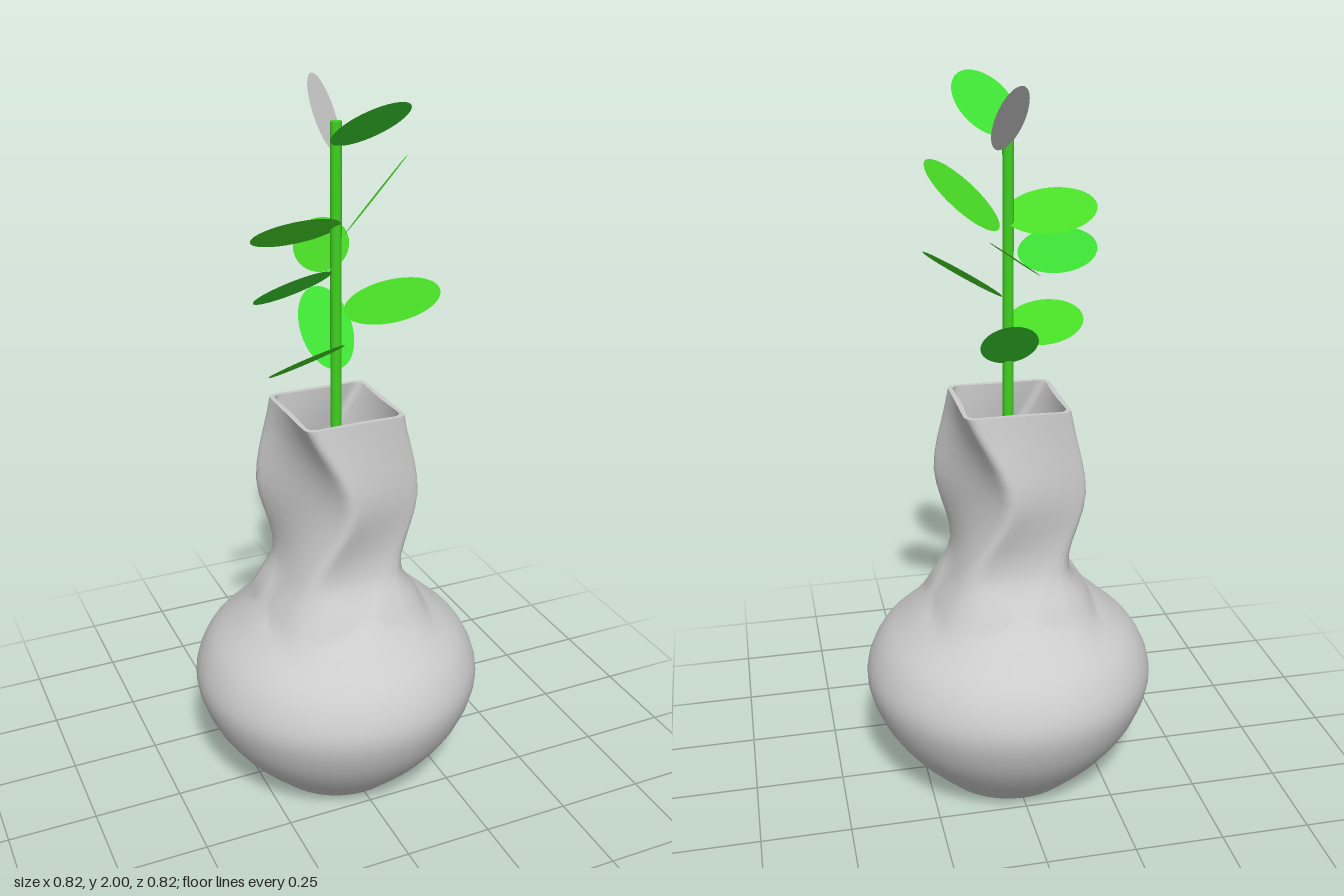
import * as THREE from 'three';

const QUARTER = 12, N = QUARTER * 4, ROWS = 45;
const WALL = 0.015;

// Cross-section ring of N points: a circle
const circle = (y, r) => Array.from({ length: N }, (_, i) => {
  const a = Math.PI / 4 + ((i - 2) / N) * Math.PI * 2;
  return new THREE.Vector3(r * Math.cos(a), y, r * Math.sin(a));
});

// Cross-section ring: a parallelogram with corners a, b, -a, -b ([x, z]), rounded by fraction f of each side
function quad(y, a, b, f) {
  const c = [a, b, a.map(v => -v), b.map(v => -v)].map(([x, z]) => new THREE.Vector3(x, y, z));
  const ring = [];
  c.forEach((p, q) => {
    const next = c[(q + 1) % 4], prev = c[(q + 3) % 4];
    const corner = new THREE.QuadraticBezierCurve3(p.clone().lerp(prev, f), p, p.clone().lerp(next, f));
    for (let k = 0; k < 5; k++) ring.push(corner.getPoint(k / 4));
    for (let k = 1; k <= 7; k++) ring.push(p.clone().lerp(next, f + (1 - 2 * f) * k / 8));
  });
  return ring;
}

// Skin a list of rings into a smooth surface
function skin(rings) {
  const index = [];
  for (let r = 0; r < rings.length - 1; r++) {
    for (let j = 0; j < N; j++) {
      const a = r * N + j, b = r * N + (j + 1) % N;
      index.push(a, a + N, b, b, a + N, b + N);
    }
  }
  const geo = new THREE.BufferGeometry().setFromPoints(rings.flat());
  geo.setIndex(index);
  geo.computeVertexNormals();
  return geo;
}

function createVase() {
  const vase = new THREE.Group();
  vase.name = 'vase';
  const mat = new THREE.MeshStandardMaterial({ color: 0xcccccc, side: THREE.DoubleSide });

  // Round belly blending into a twisted square neck
  const keys = [
    circle(0, 0.21), circle(0.11, 0.315), circle(0.22, 0.385), circle(0.33, 0.412),
    circle(0.43, 0.375), circle(0.515, 0.29),
    quad(0.59, [0.215, 0.215], [-0.215, 0.215], 0.4),
    quad(0.69, [0.15, 0.158], [-0.15, 0.158], 0.2),
    quad(0.91, [0.198, 0.138], [-0.035, 0.186], 0.1),
    quad(1.15, [0.145, 0.145], [-0.145, 0.145], 0.1),
  ];
  const lines = Array.from({ length: N }, (_, j) => new THREE.CatmullRomCurve3(keys.map(k => k[j])));
  const outer = Array.from({ length: ROWS + 1 }, (_, r) => lines.map(l => l.getPoint(r / ROWS)));

  // Inner wall follows the outer one at a constant thickness
  const inner = outer.map(ring => ring.map(p => {
    const s = 1 - WALL / Math.hypot(p.x, p.z);
    return new THREE.Vector3(p.x * s, Math.max(p.y, WALL), p.z * s);
  }));
  const centre = y => Array.from({ length: N }, () => new THREE.Vector3(0, y, 0));

  const parts = {
    vaseOuterWall: outer,
    vaseRim: [outer[ROWS], inner[ROWS]],
    vaseInnerWall: [...inner].reverse(),
    vaseFloor: [inner[0], centre(WALL)],
    vaseBase: [centre(0), outer[0]],
  };
  for (const [name, rings] of Object.entries(parts)) {
    const mesh = new THREE.Mesh(skin(rings), mat);
    mesh.name = name;
    vase.add(mesh);
  }
  return vase;
}

// Flat oval leaf: centre, direction of its length, facing normal
function createLeaf([centre, dir, normal, color]) {
  const d = new THREE.Vector3(...dir).normalize();
  const w = new THREE.Vector3(...normal).cross(d).normalize();
  const n = d.clone().cross(w);
  const leaf = new THREE.Mesh(
    new THREE.CircleGeometry(1, 40).scale(0.138, 0.076, 1),
    new THREE.MeshStandardMaterial({ color, side: THREE.DoubleSide }),
  );
  leaf.name = 'leaf';
  leaf.quaternion.setFromRotationMatrix(new THREE.Matrix4().makeBasis(d, w, n));
  leaf.position.set(...centre);
  return leaf;
}

export function createModel() {
  const model = new THREE.Group();
  model.name = 'vaseWithSprig';
  model.add(createVase());

  const sprig = new THREE.Group();
  sprig.name = 'sprig';
  const stem = new THREE.Mesh(
    new THREE.CylinderGeometry(0.015, 0.015, 1.895, 16),
    new THREE.MeshStandardMaterial({ color: 0x40d020 }),
  );
  stem.name = 'stem';
  stem.position.y = WALL + 1.895 / 2;
  sprig.add(stem);

  const green = 0x48dc26, cool = 0x3cdc32;
  const leaves = [
    [[0.035, 1.92, 0.125], [0.03, 0.07, 0.115], [0, 0.86, -0.5], cool],
    [[0.02, 1.91, -0.122], [0.035, 0.065, -0.115], [0.7, 0.5, 0.49], 0xcccccc],
    [[0.122, 1.71, -0.02], [0.1, 0.085, -0.03], [-0.62, 0.6, -0.43], green],
    [[-0.125, 1.65, 0.038], [-0.125, 0.012, 0.04], [-0.13, 0.8, -0.6], green],
    [[0.01, 1.565, -0.125], [0.01, 0.02, -0.12], [-0.57, 0.8, 0.09], green],
    [[-0.16, 1.53, 0.1], [-0.12, 0.01, 0.07], [-0.25, 0.8, -0.55], cool],
    [[0.1, 1.47, 0.125], [0.085, 0.035, 0.1], [-0.57, 0.8, 0.2], green],
    [[-0.124, 1.33, 0.1], [-0.12, 0.008, 0.07], [-0.25, 0.82, -0.5], green],
    [[0.02, 1.335, -0.112], [0.02, 0.083, -0.11], [0, 0.8, 0.6], cool],
  ];
  leaves.forEach(l => sprig.add(createLeaf(l)));
  model.add(sprig);
  return model;
}
